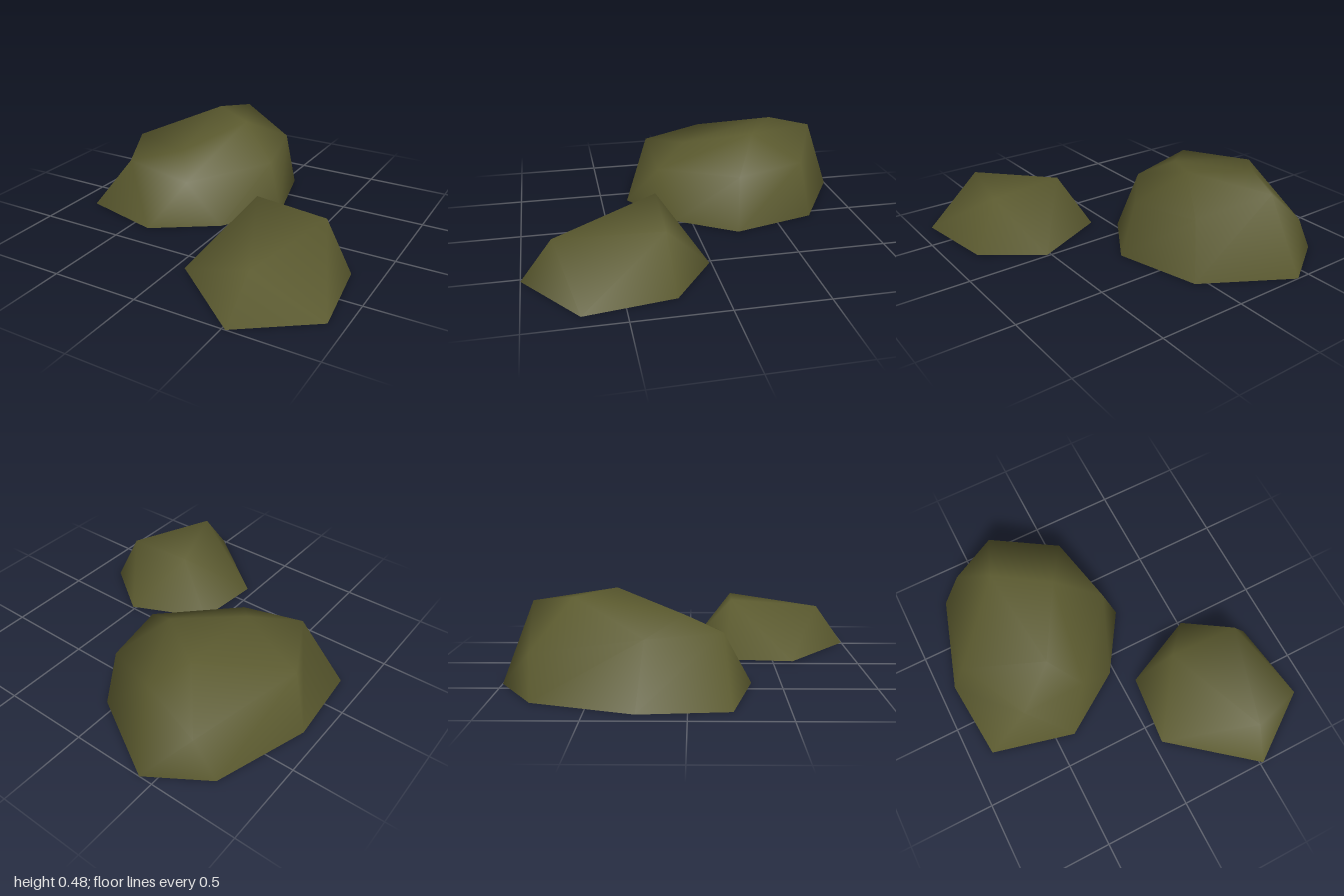
import * as THREE from 'three';

const moss = new THREE.MeshStandardMaterial({ color: 0x5b5a2f, side: THREE.DoubleSide });
moss.name = 'mossy olive';

// Open-bottomed smooth shell: corner points plus the faces joining them
function rock(name, base, crown, faces) {
  const points = [...base.map(([x, z]) => [x, 0, z]), ...crown];
  const geometry = new THREE.BufferGeometry();
  geometry.setAttribute('position', new THREE.Float32BufferAttribute(points.flat(), 3));
  geometry.setIndex(faces.flat());
  geometry.computeVertexNormals();
  const mesh = new THREE.Mesh(geometry, moss);
  mesh.name = name;
  return mesh;
}

export function createModel() {
  const group = new THREE.Group();
  group.name = 'rocks';

  // Large boulder: eight-sided foot (0-7), shoulder (8-14), top (15-16), back bulge (17)
  group.add(rock('largeRock',
    [[-0.42, -1], [0.06, -0.72], [0.19, -0.24], [-0.03, 0.1],
      [-0.39, 0.34], [-0.87, 0.22], [-0.91, -0.25], [-0.74, -0.79]],
    [[-0.35, 0.445, -0.83], [0.02, 0.335, -0.66], [0.11, 0.305, -0.26], [-0.23, 0.26, 0.16],
      [-0.61, 0.33, 0.18], [-0.81, 0.34, -0.21], [-0.44, 0.48, -0.6],
      [-0.14, 0.48, -0.4], [-0.37, 0.372, -0.02], [-0.61, 0.22, -0.81]],
    [
      // sides
      [1, 0, 8], [1, 8, 9], [2, 1, 9], [2, 9, 10], [3, 2, 10], [3, 10, 11],
      [4, 3, 11], [4, 11, 12], [5, 4, 12], [6, 5, 12], [6, 12, 13],
      [7, 6, 13], [7, 13, 17], [17, 13, 14], [0, 7, 17], [17, 14, 8], [0, 17, 8],
      // top
      [9, 8, 15], [10, 9, 15], [11, 10, 15], [11, 15, 16], [12, 11, 16],
      [13, 12, 16], [14, 13, 16], [15, 14, 16], [8, 14, 15],
    ]));

  // Small boulder: six-sided foot (0-5), three crown corners (6-8)
  group.add(rock('smallRock',
    [[0.52, 0.01], [0.84, 0.24], [0.91, 0.72], [0.52, 1], [0.05, 0.62], [0.09, 0.21]],
    [[0.29, 0.33, 0.26], [0.7, 0.3, 0.27], [0.55, 0.24, 0.83]],
    [
      [1, 0, 7], [0, 6, 7], [2, 1, 7], [2, 7, 8], [3, 2, 8], [4, 3, 8],
      [4, 8, 6], [5, 4, 6], [0, 5, 6], [7, 6, 8],
    ]));

  return group;
}
